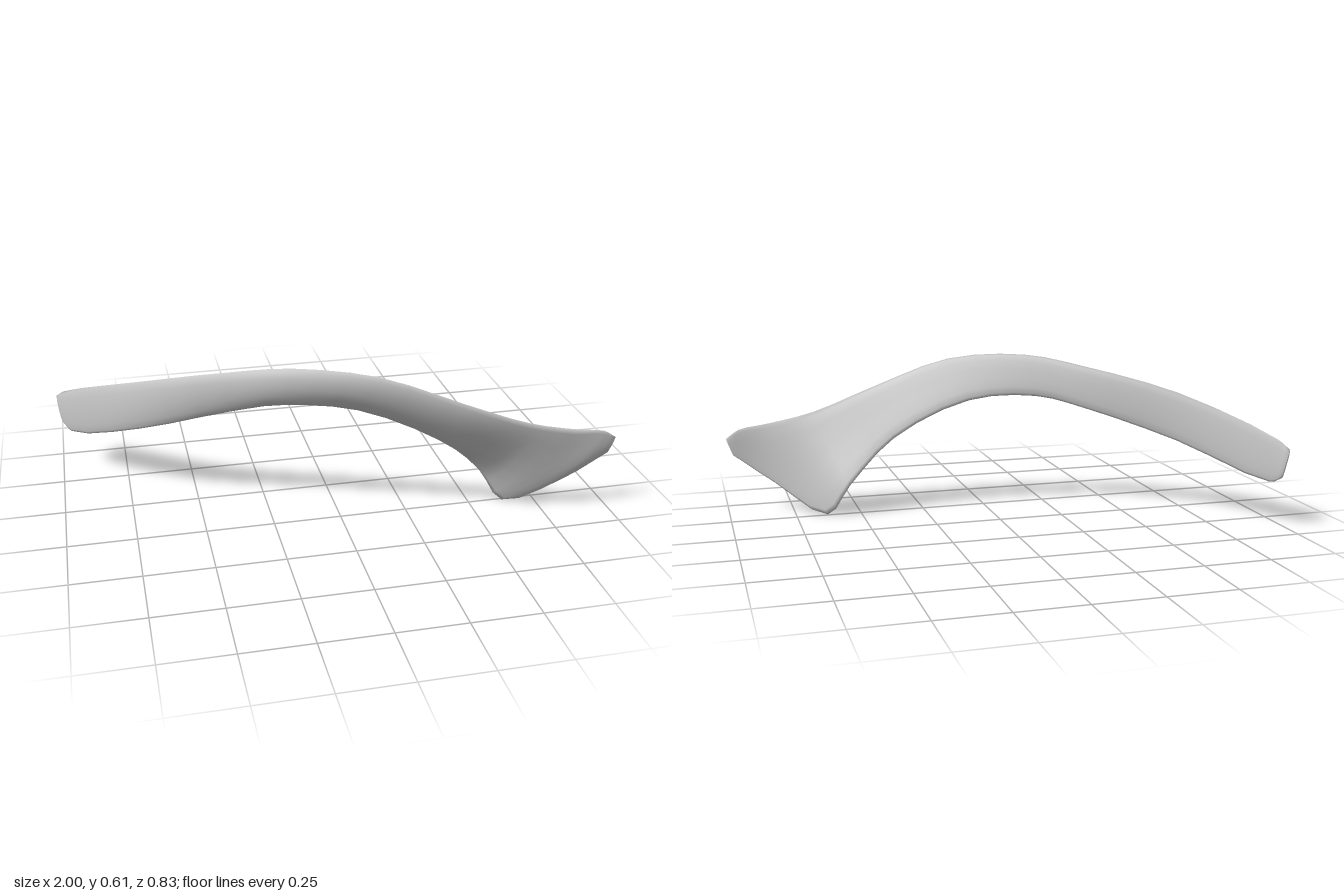
import * as THREE from 'three';

const STEPS = 30;
const SIDES = 14;

const spline = (points) =>
  new THREE.CatmullRomCurve3(points.map((p) => new THREE.Vector3(...p)));

// Matching points along the upper and lower edges of the blade
const upperEdge = spline([
  [-1, 0.3, -0.415], [-0.97, 0.335, -0.37], [-0.7, 0.475, -0.07], [-0.38, 0.565, 0.125],
  [-0.17, 0.605, 0.235], [0.12, 0.587, 0.34], [0.42, 0.477, 0.39], [0.66, 0.385, 0.4],
  [0.84, 0.346, 0.408], [0.95, 0.328, 0.406], [1, 0.295, 0.4],
]);
const lowerEdge = spline([
  [-0.985, 0.19, -0.395], [-0.955, 0.168, -0.355], [-0.7, 0.285, -0.07], [-0.38, 0.4, 0.1],
  [-0.2, 0.445, 0.18], [0.06, 0.43, 0.24], [0.36, 0.29, 0.262], [0.545, 0.12, 0.22],
  [0.63, 0, 0.258], [0.82, 0.117, 0.358], [0.975, 0.23, 0.395],
]);

function createBlade() {
  const rows = [];
  for (let i = 0; i <= STEPS; i++) {
    const u = i / STEPS;
    const top = upperEdge.getPoint(u);
    const low = lowerEdge.getPoint(u);
    rows.push({
      mid: top.clone().add(low).multiplyScalar(0.5),
      half: top.clone().sub(low).multiplyScalar(0.5),
      thick: 0.006 + 0.02 * Math.sin(Math.PI * u) ** 2, // thickest in the middle
      bow: 0.018 * Math.sin(Math.PI * u * u), // flared end bulges forward
    });
  }
  const pos = [], index = [];

  // Rounded rings around the blade
  rows.forEach(({ mid, half, thick, bow }, i) => {
    const along = rows[Math.min(i + 1, STEPS)].mid.clone().sub(rows[Math.max(i - 1, 0)].mid);
    const front = along.cross(half).normalize();
    for (let j = 0; j < SIDES; j++) {
      const t = (j / SIDES) * Math.PI * 2;
      const s = Math.sin(t);
      const p = mid.clone().addScaledVector(half, Math.cos(t))
        .addScaledVector(front, thick * s + bow * s * s);
      pos.push(p.x, p.y, p.z);
    }
  });
  for (let i = 0; i < STEPS; i++) {
    for (let j = 0; j < SIDES; j++) {
      const p = i * SIDES + j, q = i * SIDES + (j + 1) % SIDES;
      index.push(p, q, p + SIDES, q, q + SIDES, p + SIDES);
    }
  }

  // Closed ends
  for (const i of [0, STEPS]) {
    const c = pos.length / 3;
    pos.push(...rows[i].mid.toArray());
    for (let j = 0; j < SIDES; j++) {
      const p = i * SIDES + j, q = i * SIDES + (j + 1) % SIDES;
      if (i) index.push(c, p, q);
      else index.push(c, q, p);
    }
  }

  const geo = new THREE.BufferGeometry();
  geo.setAttribute('position', new THREE.Float32BufferAttribute(pos, 3));
  geo.setIndex(index);
  geo.computeVertexNormals();
  return geo;
}

export function createModel() {
  const group = new THREE.Group();
  group.name = 'curvedBone';
  const paleGrey = new THREE.MeshStandardMaterial({ color: 0xcccccc });
  paleGrey.name = 'paleGrey';
  const blade = new THREE.Mesh(createBlade(), paleGrey);
  blade.name = 'boneBlade';
  group.add(blade);
  return group;
}
